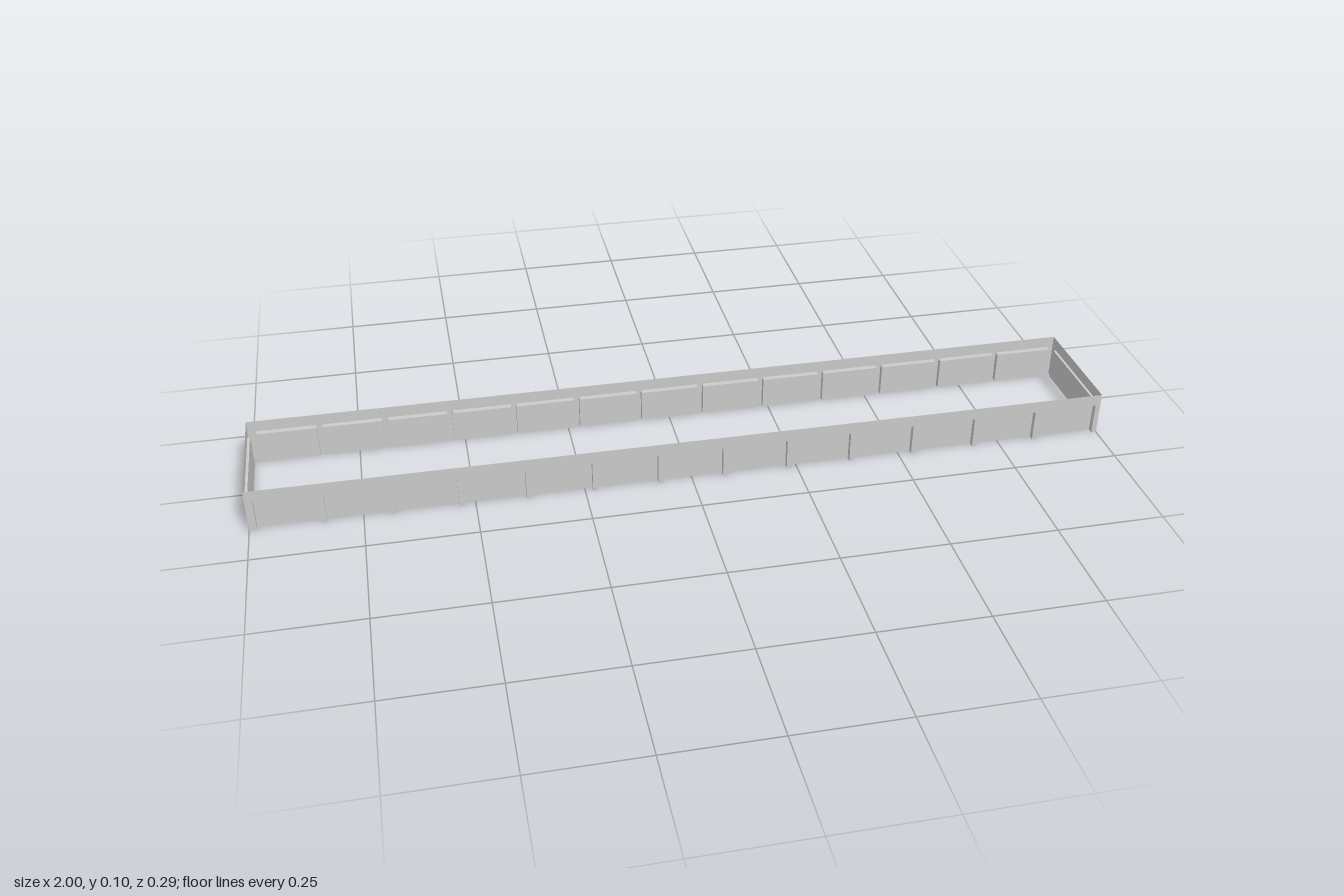
import * as THREE from 'three';

const HEIGHT = 0.105, RECESS_TOP = 0.077, HALF_X = 1, HALF_Z = 0.144, CORNER = 0.004;

const material = new THREE.MeshStandardMaterial({ color: 0xcccccc, side: THREE.DoubleSide });

// Arch outline of one recess, open at the ground, with softened upper corners
function recessPath(x0, x1) {
  const points = [new THREE.Vector2(x0, 0)];
  for (let i = 0; i <= 3; i++) {
    const a = Math.PI - (i / 3) * Math.PI / 2;
    points.push(new THREE.Vector2(x0 + CORNER + CORNER * Math.cos(a), RECESS_TOP - CORNER + CORNER * Math.sin(a)));
  }
  for (let i = 0; i <= 3; i++) {
    const a = Math.PI / 2 - (i / 3) * Math.PI / 2;
    points.push(new THREE.Vector2(x1 - CORNER + CORNER * Math.cos(a), RECESS_TOP - CORNER + CORNER * Math.sin(a)));
  }
  points.push(new THREE.Vector2(x1, 0));
  return points;
}

// Strip joining the frame opening to the set-back panel
function revealGeometry(path, depth) {
  const v = [];
  for (let i = 0; i < path.length - 1; i++) {
    const a = path[i], b = path[i + 1];
    v.push(a.x, a.y, 0, b.x, b.y, 0, b.x, b.y, -depth);
    v.push(a.x, a.y, 0, b.x, b.y, -depth, a.x, a.y, -depth);
  }
  const geometry = new THREE.BufferGeometry();
  geometry.setAttribute('position', new THREE.Float32BufferAttribute(v, 3));
  geometry.computeVertexNormals();
  return geometry;
}

// Thin sheet wall facing +z: rail and posts in front, panels set back
function makeWall(name, half, recesses, depth) {
  const wall = new THREE.Group();
  wall.name = name;
  const add = (geometry, part) => {
    const mesh = new THREE.Mesh(geometry, material);
    mesh.name = part;
    wall.add(mesh);
  };
  const outline = [new THREE.Vector2(half, 0), new THREE.Vector2(half, HEIGHT),
    new THREE.Vector2(-half, HEIGHT), new THREE.Vector2(-half, 0)];
  for (const [x0, x1] of recesses) {
    const path = recessPath(x0, x1);
    outline.push(...path);
    add(new THREE.ShapeGeometry(new THREE.Shape(path)).translate(0, 0, -depth), 'panel');
    add(revealGeometry(path, depth), 'panelReveal');
  }
  add(new THREE.ShapeGeometry(new THREE.Shape(outline)), 'railAndPosts');
  return wall;
}

// Evenly spaced recesses of a long side
function longRecesses(shift) {
  const count = 13, pitch = 0.1525, width = 0.141;
  return Array.from({ length: count }, (_, i) => {
    const centre = (i - (count - 1) / 2) * pitch + shift;
    return [centre - width / 2, centre + width / 2];
  });
}

export function createModel() {
  const model = new THREE.Group();
  model.name = 'panelledEnclosure';

  // Long walls
  const front = makeWall('frontWall', HALF_X, longRecesses(0.0025), 0.013);
  front.position.z = HALF_Z;
  const back = makeWall('backWall', HALF_X, longRecesses(-0.0025), 0.013);
  back.position.z = -HALF_Z;
  back.rotation.y = Math.PI;
  model.add(front, back);

  // Short end walls, each with one wide panel
  for (const side of [1, -1]) {
    const end = makeWall(side > 0 ? 'leftEndWall' : 'rightEndWall', HALF_Z, [[-0.125, 0.125]], 0.006);
    end.position.x = side * HALF_X;
    end.rotation.y = side * Math.PI / 2;
    model.add(end);
  }
  return model;
}
